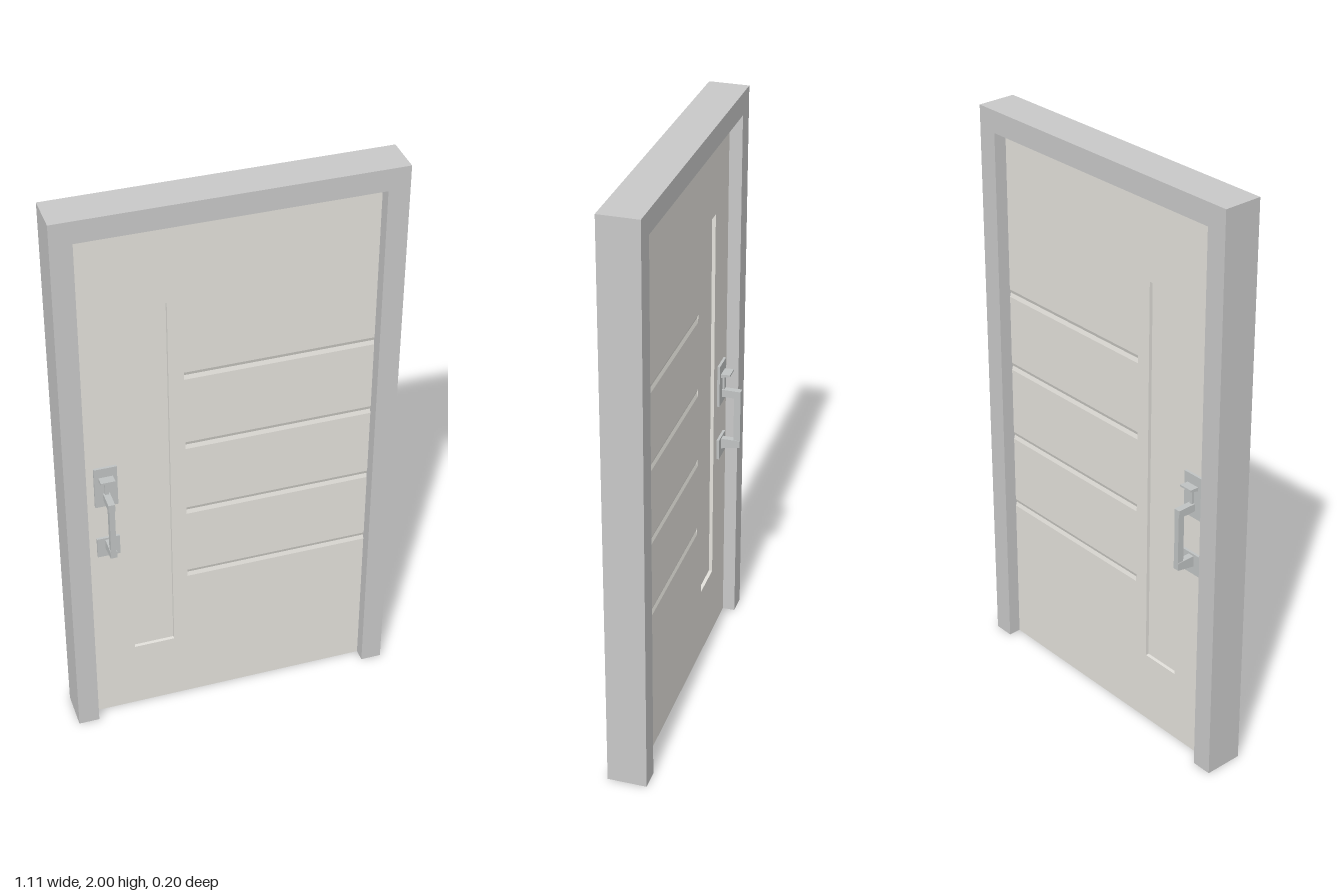
import * as THREE from 'three';

function material(name, color) {
  const mat = new THREE.MeshStandardMaterial({ color });
  mat.name = name;
  return mat;
}
const frameMat = material('frame grey', 0xc8c8c8);
const doorMat = material('door warm grey', 0xe3e1db);
const metalMat = material('handle metal', 0xc0c3c3);

function add(parent, name, geometry, mat) {
  const mesh = new THREE.Mesh(geometry, mat);
  mesh.name = name;
  parent.add(mesh);
}

// Box given by its lower and upper corners
function box(x0, x1, y0, y1, z0, z1) {
  return new THREE.BoxGeometry(x1 - x0, y1 - y0, z1 - z0)
    .translate((x0 + x1) / 2, (y0 + y1) / 2, (z0 + z1) / 2);
}

const vectors = (points) => points.map(([x, y]) => new THREE.Vector2(x, y));

// Outline in (x, y), extruded evenly about z = 0
function extrudeZ(shape, half) {
  return new THREE.ExtrudeGeometry(shape, { depth: 2 * half, bevelEnabled: false })
    .translate(0, 0, -half);
}

// Outline in (z, y), extruded along x from x0 to x1
function extrudeX(points, x0, x1) {
  return new THREE.ExtrudeGeometry(new THREE.Shape(vectors(points)), { depth: x1 - x0, bevelEnabled: false })
    .rotateY(-Math.PI / 2)
    .translate(x1, 0, 0);
}

const W = 0.556, D = 0.067, IN = 0.485, TOP = 1.925; // frame and opening
const T = 0.023;                                    // half door thickness
const SPLIT = -0.146;                               // where the grooves begin

function buildHandle(name) {
  const handle = new THREE.Group();
  handle.name = name;
  const cx = -0.413;
  const face = T + 0.009;
  add(handle, 'upperPlate', box(cx - 0.038, cx + 0.038, 0.91, 1.063, T - 0.002, face), metalMat);
  add(handle, 'lowerPlate', box(cx - 0.038, cx + 0.038, 0.702, 0.777, T - 0.002, face), metalMat);
  // Slim upright grip
  add(handle, 'grip', box(cx - 0.009, cx + 0.009, 0.745, 0.963, 0.075, 0.098), metalMat);
  // Arms joining the grip to the plates
  add(handle, 'upperArm', box(cx - 0.011, cx + 0.011, 0.936, 0.963, T, 0.098), metalMat);
  add(handle, 'lowerArm', extrudeX([[T, 0.73], [0.098, 0.744], [0.098, 0.77], [T, 0.77]],
    cx - 0.011, cx + 0.011), metalMat);
  // Thumb latch: flared paddle on a short stem
  add(handle, 'thumbPaddle', extrudeX([[T, 1.012], [0.064, 1.024], [0.064, 1.03], [T, 1.028]],
    cx - 0.024, cx + 0.024), metalMat);
  add(handle, 'thumbStem', box(cx - 0.006, cx + 0.006, 0.963, 1.016, T, 0.04), metalMat);
  return handle;
}

export function createModel() {
  const model = new THREE.Group();
  model.name = 'entryDoor';

  // Frame: one upside-down U
  const outline = new THREE.Shape(vectors(
    [[-W, 0], [-IN, 0], [-IN, TOP], [IN, TOP], [IN, 0], [W, 0], [W, 2], [-W, 2]]));
  add(model, 'frame', extrudeZ(outline, D), frameMat);

  const door = new THREE.Group();
  door.name = 'door';
  model.add(door);

  // Latch side of the leaf, cut through for the tall inset
  const leaf = new THREE.Shape(vectors([[-IN, 0], [SPLIT, 0], [SPLIT, TOP], [-IN, TOP]]));
  leaf.holes.push(new THREE.Path(vectors([[-0.337, 0.26], [-0.337, 1.638], [-0.197, 1.638], [-0.197, 0.26]])));
  add(door, 'latchSideLeaf', extrudeZ(leaf, T), doorMat);
  add(door, 'insetPanel', box(-0.337, -0.197, 0.26, 1.638, -T + 0.012, T - 0.012), doorMat);

  // Hinge side of the leaf, with shallow V grooves on both faces
  const front = [[T, 0]];
  for (const y of [0.547, 0.817, 1.085, 1.357]) {
    front.push([T, y - 0.015], [T - 0.004, y], [T, y + 0.012]);
  }
  front.push([T, TOP]);
  const back = front.map(([z, y]) => [-z, y]).reverse();
  add(door, 'groovedLeaf', extrudeX([...front, ...back], SPLIT, IN), doorMat);

  // Matching handles on both faces
  const backHandle = buildHandle('backHandle');
  backHandle.scale.z = -1;
  model.add(buildHandle('frontHandle'), backHandle);

  return model;
}
